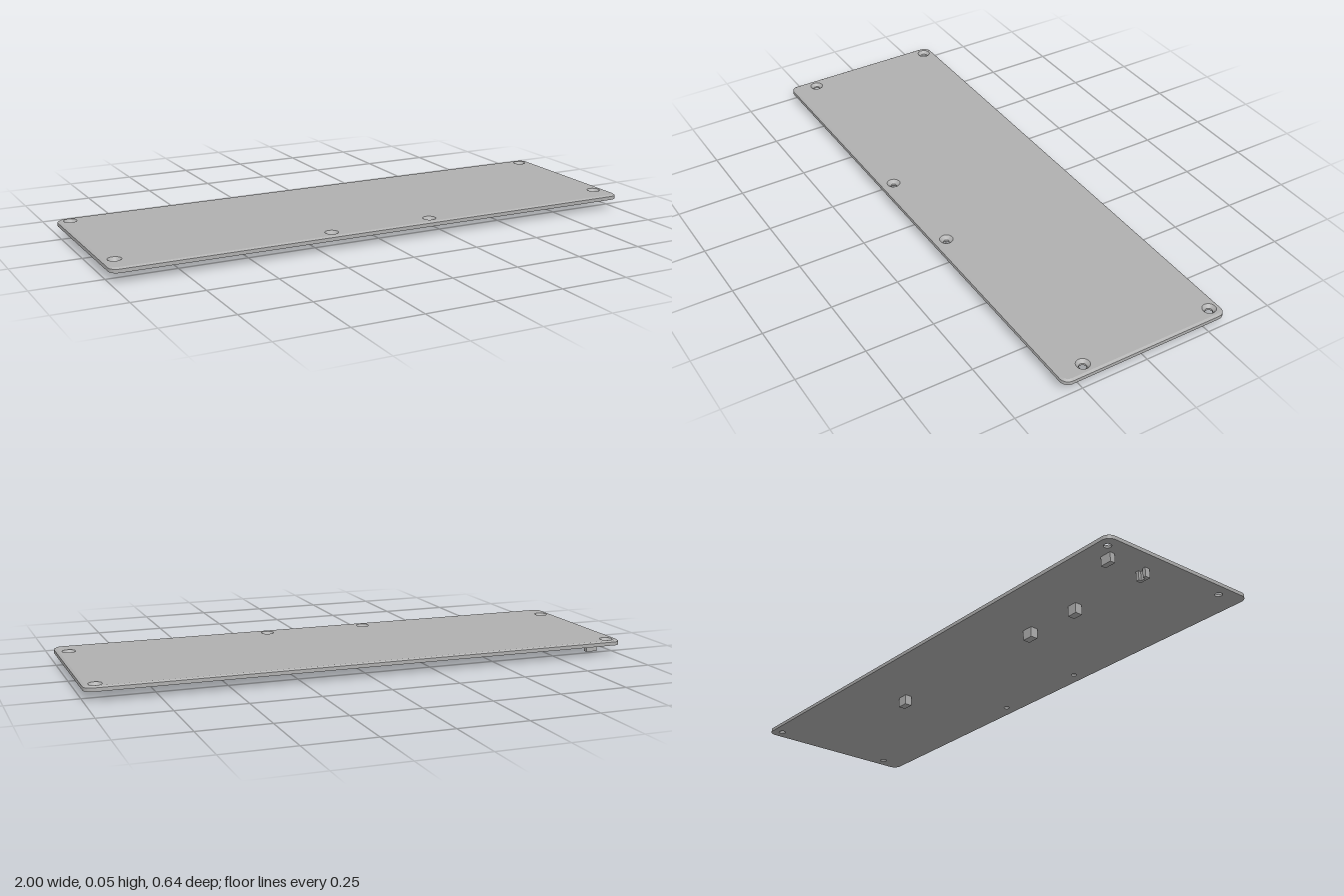
import * as THREE from 'three';
import { toCreasedNormals } from 'three/addons/utils/BufferGeometryUtils.js';

const W = 1, D = 0.318;                              // half width and depth
const BOTTOM = 0.037, SHOULDER = 0.05, TOP = 0.055;
const BEVEL = 0.008, CORNER = 0.03;
const SINK = 0.024;                                  // countersink radius

// x, z, through-hole radius
const HOLES = [
  [-0.957, -0.28, 0.013], [0.957, -0.28, 0.013],
  [-0.957, 0.222, 0.013], [0.957, 0.222, 0.013],
  [-0.197, 0.273, 0.01], [0.193, 0.273, 0.01],
];

// Rounded rectangle, counter-clockwise
function outline(inset) {
  const r = CORNER - inset, pts = [];
  const centres = [[1, 1], [-1, 1], [-1, -1], [1, -1]];
  centres.forEach(([sx, sy], q) => {
    for (let i = 0; i <= 8; i++) {
      const a = (q + i / 8) * Math.PI / 2;
      pts.push(new THREE.Vector2(sx * (W - CORNER) + r * Math.cos(a), sy * (D - CORNER) + r * Math.sin(a)));
    }
  });
  return pts;
}

// Horizontal face with round holes, facing up or down
function face(inset, y, up, radius) {
  const shape = new THREE.Shape(outline(inset));
  for (const [x, z, r] of HOLES) {
    const hole = new THREE.Path();
    hole.absarc(x, up ? -z : z, radius || r, 0, Math.PI * 2, true);
    shape.holes.push(hole);
  }
  return new THREE.ShapeGeometry(shape, 16).rotateX(up ? -Math.PI / 2 : Math.PI / 2).translate(0, y, 0);
}

// Band of quads between two outlines
function band(insetLow, yLow, insetHigh, yHigh) {
  const low = outline(insetLow), high = outline(insetHigh), pos = [];
  low.forEach((p, i) => {
    const j = (i + 1) % low.length;
    const a = [p.x, yLow, -p.y], b = [low[j].x, yLow, -low[j].y];
    const c = [high[j].x, yHigh, -high[j].y], d = [high[i].x, yHigh, -high[i].y];
    pos.push(...a, ...b, ...c, ...a, ...c, ...d);
  });
  const g = new THREE.BufferGeometry();
  g.setAttribute('position', new THREE.Float32BufferAttribute(pos, 3));
  return toCreasedNormals(g, 0.5);
}

export function createModel() {
  const model = new THREE.Group();
  model.name = 'coverPlate';
  const grey = new THREE.MeshStandardMaterial({ color: 0xb0b0b0, side: THREE.DoubleSide });
  grey.name = 'plainGrey';
  const add = (name, geometry, parent = model) => {
    const mesh = new THREE.Mesh(geometry, grey);
    mesh.name = name;
    parent.add(mesh);
    return mesh;
  };

  // Plate shell
  const plate = new THREE.Group();
  plate.name = 'plate';
  model.add(plate);
  add('topFace', face(BEVEL, TOP, true, SINK), plate);
  add('bottomFace', face(0, BOTTOM, false), plate);
  add('sideWall', band(0, BOTTOM, 0, SHOULDER), plate);
  add('topBevel', band(0, SHOULDER, BEVEL, TOP), plate);

  // Countersunk screw holes
  for (const [x, z, r] of HOLES) {
    const profile = [[SINK, TOP], [r, 0.044], [r, BOTTOM]].map(p => new THREE.Vector2(...p));
    add('screwHole', toCreasedNormals(new THREE.LatheGeometry(profile, 32), 0.4)).position.set(x, 0, z);
  }

  // Pegs under the plate: x, z, width, depth, lower end
  const peg = (name, x, z, w, d, y) =>
    add(name, new THREE.BoxGeometry(w, BOTTOM - y, d)).position.set(x, (BOTTOM + y) / 2, z);
  peg('peg', 0.36, -0.094, 0.042, 0.028, 0);
  peg('peg', -0.375, -0.094, 0.042, 0.028, 0);
  peg('peg', -0.603, -0.094, 0.038, 0.028, 0);
  peg('endPeg', -0.915, -0.24, 0.042, 0.02, 0.004);

  // Slotted peg: two prongs joined by a web
  for (const s of [-1, 1]) peg('prong', -0.915 + s * 0.015, -0.087, 0.012, 0.02, 0.004);
  peg('prongWeb', -0.915, -0.082, 0.018, 0.01, 0.004);

  return model;
}
